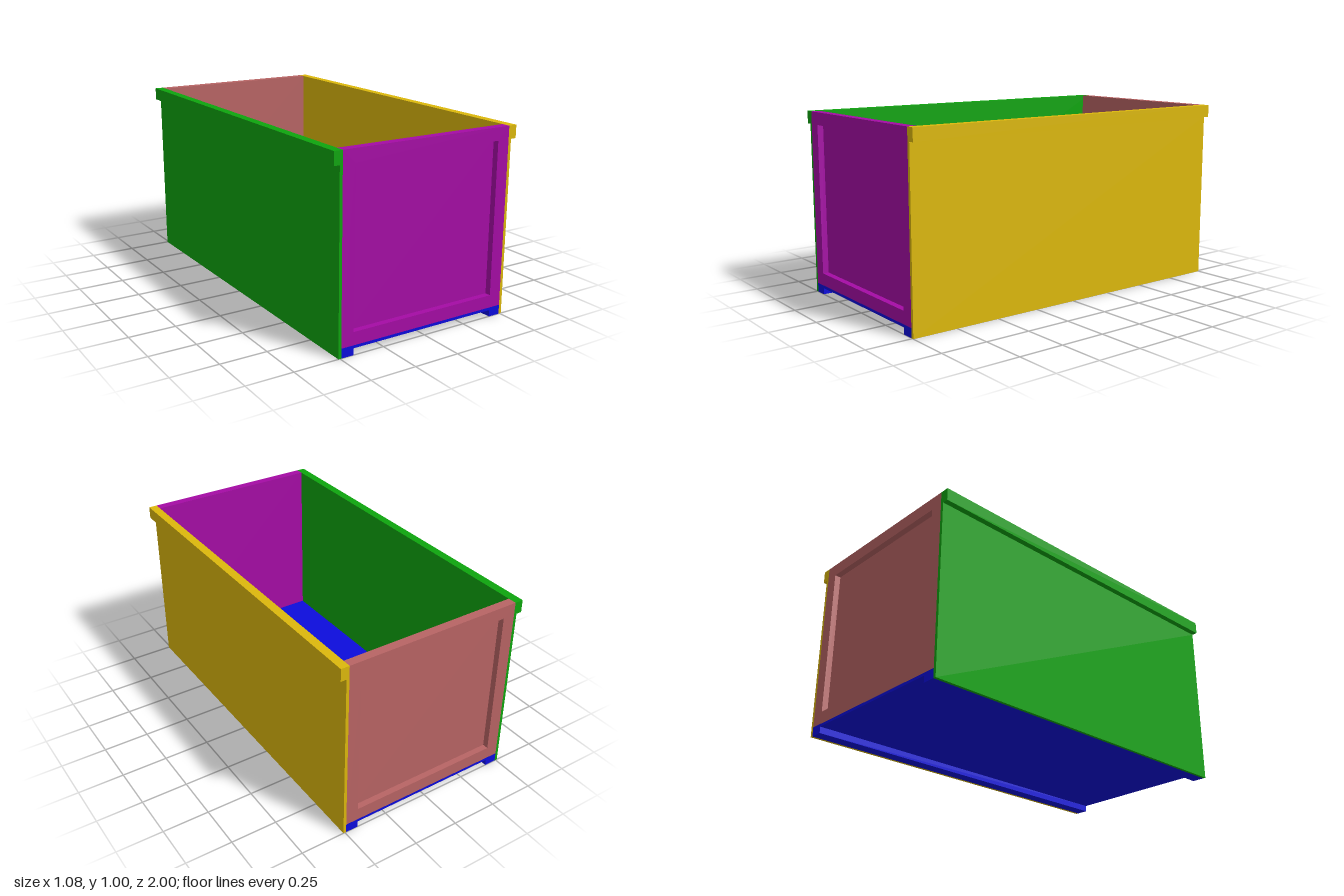
import * as THREE from 'three';

const LENGTH = 2, HEIGHT = 1;
const INNER = 0.493;   // half width inside the walls
const WALL = 0.509;    // half width outside the walls
const RIM = 0.54;      // half width outside the rims
const RIM_Y = 0.932;   // underside of the rims
const FLOOR = 0.05;    // top of the floor
const SLOT = 0.425;    // half width between runners, and of the end recess
const END = 0.048, SHEET = 0.015; // end frame and thin sheet thickness

const toShape = (points) => new THREE.Shape(points.map(([x, y]) => new THREE.Vector2(x, y)));

function mesh(name, geometry, color) {
  const m = new THREE.Mesh(geometry, new THREE.MeshStandardMaterial({ color }));
  m.name = name;
  return m;
}

// Extrudes a cross-section over the full length, centred on z = 0
function lengthwise(name, points, color) {
  const g = new THREE.ExtrudeGeometry(toShape(points), { depth: LENGTH, bevelEnabled: false });
  return mesh(name, g.translate(0, 0, -LENGTH / 2), color);
}

// Side wall with an outward rim along its top edge
function sideWall(name, s, color) {
  return lengthwise(name, [
    [s * INNER, 0], [s * WALL, 0], [s * WALL, RIM_Y],
    [s * RIM, RIM_Y], [s * RIM, HEIGHT], [s * INNER, HEIGHT],
  ], color);
}

// End panel: a thin sheet behind a raised frame, outer face at z = 1
function endPanel(name, color) {
  const group = new THREE.Group();
  group.name = name;
  const rect = (w, y0, y1) => [[-w, y0], [w, y0], [w, y1], [-w, y1]];
  const frameShape = toShape(rect(INNER, FLOOR, HEIGHT));
  frameShape.holes.push(toShape(rect(SLOT, 0.118, RIM_Y)));
  const frame = new THREE.ExtrudeGeometry(frameShape, { depth: END - SHEET, bevelEnabled: false });
  frame.translate(0, 0, LENGTH / 2 - END + SHEET);
  const sheet = new THREE.BoxGeometry(INNER * 2, HEIGHT - FLOOR, SHEET);
  sheet.translate(0, (HEIGHT + FLOOR) / 2, LENGTH / 2 - END + SHEET / 2);
  group.add(mesh(name + 'Frame', frame, color), mesh(name + 'Sheet', sheet, color));
  return group;
}

export function createModel() {
  const model = new THREE.Group();
  model.name = 'openCrate';

  // Floor with a runner along each side
  const under = FLOOR - SHEET;
  model.add(lengthwise('floor', [
    [-INNER, 0], [-SLOT, 0], [-SLOT, under], [SLOT, under],
    [SLOT, 0], [INNER, 0], [INNER, FLOOR], [-INNER, FLOOR],
  ], 0x0c0cdc));

  model.add(sideWall('leftWall', 1, 0xdcb80c), sideWall('rightWall', -1, 0x0ea50e));

  const back = endPanel('backPanel', 0xb86464);
  back.rotation.y = Math.PI;
  model.add(endPanel('frontPanel', 0xa50ca5), back);

  return model;
}
